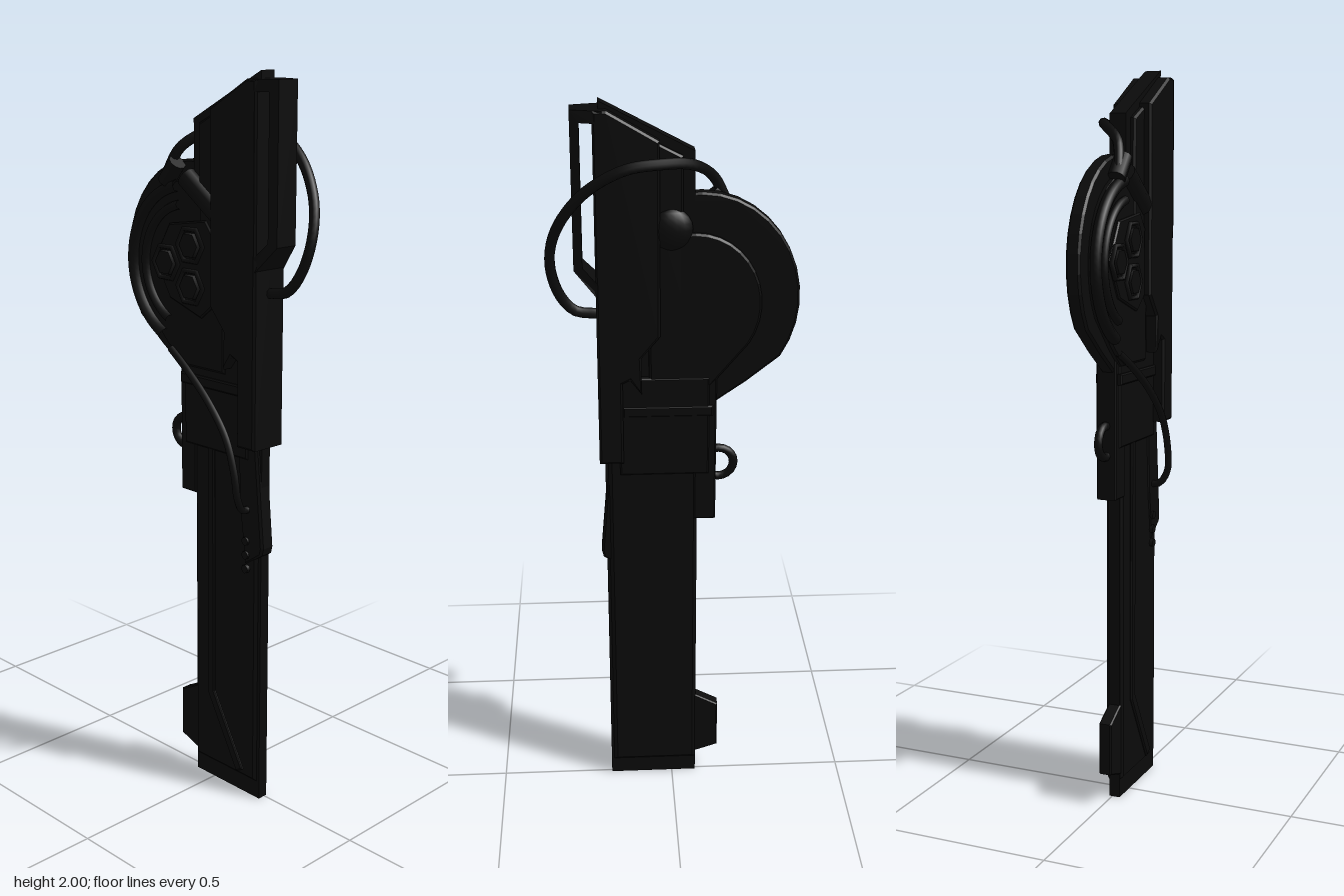
import * as THREE from 'three';

const black = new THREE.MeshStandardMaterial({ color: 0x0b0b0b });
black.name = 'black';

export function createModel() {
  const model = new THREE.Group();
  const add = (name, geometry) => {
    const mesh = new THREE.Mesh(geometry, black);
    mesh.name = name;
    model.add(mesh);
    return mesh;
  };
  const toShape = (pts) => new THREE.Shape(pts.map(([x, y]) => new THREE.Vector2(x, y)));

  // Extruded outline between two depths, with an optional inward bevel and holes
  const plate = (name, pts, z0, z1, bevel = 0, holes = []) => {
    const shape = toShape(pts);
    holes.forEach((h) => shape.holes.push(toShape(h)));
    const geo = new THREE.ExtrudeGeometry(shape, {
      depth: z1 - z0 - 2 * bevel, bevelEnabled: bevel > 0, bevelThickness: bevel,
      bevelSize: bevel, bevelOffset: -bevel, bevelSegments: 1,
    });
    geo.translate(0, 0, z0 + bevel);
    return add(name, geo);
  };
  const rect = (x0, y0, x1, y1) => [[x0, y0], [x1, y0], [x1, y1], [x0, y1]];
  const tube = (name, pts, r, segments = 40) => add(name, new THREE.TubeGeometry(
    new THREE.CatmullRomCurve3(pts.map((p) => new THREE.Vector3(...p))), segments, r, 8));

  // Blade: thin edge plate, thicker bevelled core and raised rib
  plate('bladeEdge', rect(-0.07, 0, 0.18, 1.25), -0.008, 0.022);
  plate('bladeCore', [[-0.07, 0.05], [0.172, 0.05], [0.172, 1.25], [-0.07, 1.25]], -0.02, 0.03, 0.01);
  plate('bladeRib', [[-0.015, 1.2], [-0.015, 0.27], [0.1, 0.06], [0.125, 0.075], [0.012, 0.28], [0.012, 1.2]],
    0.025, 0.036, 0.004);
  plate('bladeHook', [[-0.06, 0.275], [-0.135, 0.235], [-0.135, 0.09], [-0.06, 0.065]], -0.012, 0.025, 0.004);

  // Collar where the blade enters the housing
  plate('collarSide', rect(-0.12, 0.86, -0.06, 1.28), -0.024, 0.034, 0.004);
  plate('collar', rect(-0.1, 1.0, 0.14, 1.28), -0.028, 0.038, 0.004);
  plate('collarBand', rect(-0.11, 1.17, 0.13, 1.2), -0.03, 0.046, 0.004);
  const ring = add('ring', new THREE.TorusGeometry(0.042, 0.012, 8, 20));
  ring.position.set(-0.128, 1.02, 0.005);

  // Wedge beside the blade and its small catches
  plate('wedge', [[0.1, 1.04], [0.17, 1.04], [0.195, 0.76], [0.19, 0.74], [0.13, 0.7], [0.11, 0.84]],
    -0.012, 0.034, 0.006);
  for (const y of [0.69, 0.73, 0.77]) {
    const catchPin = add('catchPin', new THREE.CylinderGeometry(0.012, 0.012, 0.012, 8));
    catchPin.rotation.x = Math.PI / 2;
    catchPin.position.set(0.135, y, 0.034);
  }

  // Slanted top plate
  plate('topPlate', [[-0.06, 1.2], [0.18, 1.2], [0.18, 2], [-0.06, 1.875]], -0.01, 0.036);
  plate('topStep', [[-0.03, 1.5], [0.1, 1.5], [0.1, 1.93], [-0.03, 1.865]], -0.026, 0.05, 0.006);

  // Long casing, stepped in near its lower end
  plate('casing', [[0.13, 1.04], [0.195, 1.04], [0.195, 1.98], [0.16, 1.98], [0.03, 1.905],
    [0.03, 1.4], [0.08, 1.34], [0.08, 1.24], [0.11, 1.28], [0.13, 1.27]], -0.042, 0.07, 0.006);

  // Open handle, narrower on its outer edge
  const handle = plate('handle', [[0.17, 1.98], [0.25, 1.98], [0.25, 1.575], [0.185, 1.5], [0.17, 1.5]],
    -0.042, 0.07, 0, [[[0.19, 1.95], [0.19, 1.545], [0.227, 1.585], [0.227, 1.95]]]);
  const hp = handle.geometry.attributes.position;
  for (let i = 0; i < hp.count; i++) {
    const t = Math.max(0, (hp.getX(i) - 0.195) / 0.055);
    hp.setZ(i, 0.014 + (hp.getZ(i) - 0.014) * (1 - 0.4 * t));
  }
  handle.geometry.computeVertexNormals();

  // Rounded housing with a straight lower flank
  const drum = (cx, cy, r, tail) => {
    const pts = [];
    for (let i = 0; i <= 14; i++) {
      const a = THREE.MathUtils.degToRad(70 + (i / 14) * 145);
      pts.push([cx + r * Math.cos(a), cy + r * 1.08 * Math.sin(a)]);
    }
    return pts.concat(tail);
  };
  plate('housing', drum(-0.075, 1.49, 0.26, [[-0.2, 1.26], [-0.12, 1.205], [0.08, 1.205], [0.08, 1.68]]),
    -0.01, 0.03, 0.006);
  plate('housingBack', drum(-0.06, 1.48, 0.175, [[-0.1, 1.25], [0.06, 1.25], [0.06, 1.62]]), -0.026, 0, 0.006);
  plate('housingFront', drum(-0.07, 1.49, 0.215, [[-0.16, 1.27], [-0.1, 1.22], [0.06, 1.22], [0.06, 1.66]]),
    0.02, 0.046, 0.006);

  // Raised arcs on the housing face
  for (const [r, thick] of [[0.215, 0.016], [0.165, 0.012]]) {
    const arc = add('housingArc', new THREE.TorusGeometry(r, thick, 8, 28, 2.5));
    arc.rotation.z = 1.75;
    arc.position.set(-0.07, 1.49, 0.052);
  }

  // Three hexagonal cells in a shallow frame
  plate('cellFrame', [[-0.2, 1.5], [-0.14, 1.6], [0.0, 1.62], [0.03, 1.58], [0.03, 1.4], [-0.02, 1.36], [-0.14, 1.4]],
    0.04, 0.054, 0.004);
  for (const [x, y] of [[-0.15, 1.495], [-0.056, 1.55], [-0.056, 1.44]]) {
    const rim = add('cellRim', new THREE.TorusGeometry(0.048, 0.007, 6, 6));
    rim.position.set(x, y, 0.056);
    const cell = add('cell', new THREE.CylinderGeometry(0.034, 0.038, 0.014, 6));
    cell.rotation.set(Math.PI / 2, Math.PI / 6, 0);
    cell.position.set(x, y, 0.057);
  }

  // Fittings for the hoses
  const fitting = add('hoseFitting', new THREE.CylinderGeometry(0.03, 0.03, 0.15, 10));
  fitting.rotation.z = 0.95;
  fitting.position.set(-0.02, 1.68, 0.04);
  const socket = add('hoseSocket', new THREE.CylinderGeometry(0.024, 0.024, 0.07, 10));
  socket.rotation.z = -0.7;
  socket.position.set(-0.13, 1.735, 0.05);
  const dome = add('backDome', new THREE.SphereGeometry(0.055, 14, 10));
  dome.scale.z = 0.5;
  dome.position.set(0, 1.68, -0.018);

  // Large hose looping behind the housing
  tube('largeHose', [[-0.15, 1.72, 0.055], [-0.11, 1.8, 0.035], [-0.05, 1.845, -0.025], [0.03, 1.855, -0.066],
    [0.12, 1.845, -0.082], [0.22, 1.785, -0.068], [0.29, 1.69, -0.04], [0.31, 1.6, -0.015],
    [0.29, 1.51, 0.002], [0.25, 1.46, 0.01], [0.19, 1.45, 0.012]], 0.014, 48);

  // Thin hose down the front
  tube('thinHose', [[-0.14, 1.26, 0.05], [-0.06, 1.21, 0.06], [0.03, 1.14, 0.07], [0.1, 1.06, 0.077],
    [0.135, 0.97, 0.08], [0.144, 0.9, 0.076], [0.14, 0.865, 0.055], [0.138, 0.86, 0.025]], 0.01);

  return model;
}
